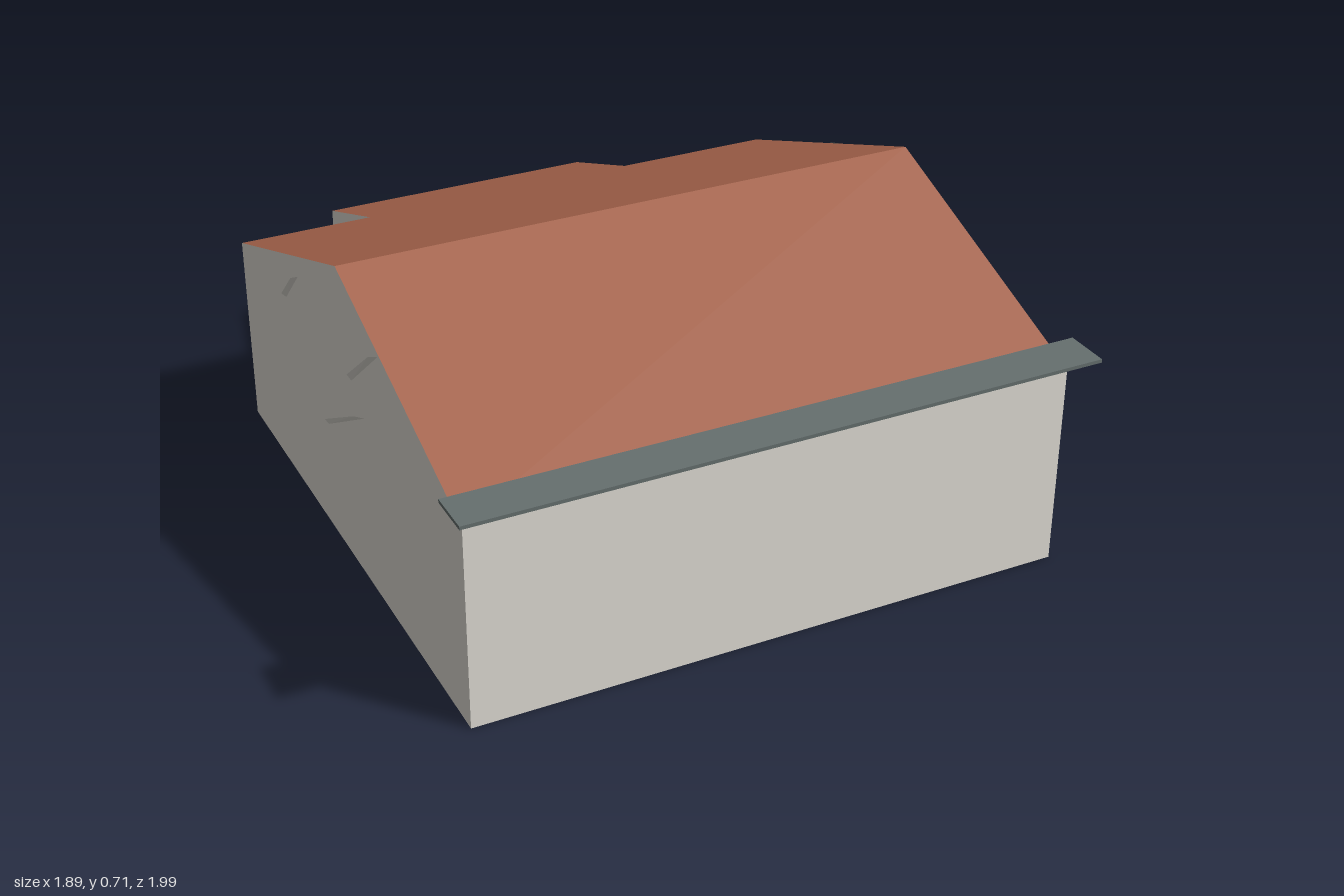
import * as THREE from 'three';

const mat = (name, color) => {
  const m = new THREE.MeshStandardMaterial({ color, side: THREE.DoubleSide });
  m.name = name;
  return m;
};

// House plan: u runs along the front wall, v runs from front to back
const LEN = 1.36, DEPTH = 1.362, RIDGE_V = 0.664, RIDGE_Y = 0.712;
const EAVE_F = 0.47, EAVE_B = 0.455;
const EXT_A = 0.315, EXT_B = 0.988, EXT_V = 1.652, EXT_Y = 0.348;

export function createModel() {
  const wall = mat('plaster', 0xe2dfd7);
  const roof = mat('roof tile', 0xa5634b);
  const glass = mat('slate glass', 0x66706f);
  const white = mat('white trim', 0xf2f0ec);
  const yellow = mat('yellow', 0xcdae58);

  const house = new THREE.Group();
  house.name = 'house';

  // Flat convex panel from [u, y, v] corners
  function panel(name, material, corners) {
    const p = [];
    for (let i = 1; i < corners.length - 1; i++) {
      for (const c of [corners[0], corners[i], corners[i + 1]]) p.push(c[0], c[1], -c[2]);
    }
    const g = new THREE.BufferGeometry();
    g.setAttribute('position', new THREE.Float32BufferAttribute(p, 3));
    g.computeVertexNormals();
    const mesh = new THREE.Mesh(g, material);
    mesh.name = name;
    house.add(mesh);
  }
  // Panel standing parallel to the gables, from [v, y] corners
  const sidePanel = (name, material, u, pts) =>
    panel(name, material, pts.map(([v, y]) => [u, y, v]));
  // Upright wall between two plan points, with a height at each end
  const wallRun = (name, [u0, v0, h0], [u1, v1, h1]) =>
    panel(name, wall, [[u0, 0, v0], [u1, 0, v1], [u1, h1, v1], [u0, h0, v0]]);

  // Walls, open underneath
  const gable = [[0, 0], [DEPTH, 0], [DEPTH, EAVE_B], [RIDGE_V, RIDGE_Y], [0, EAVE_F]];
  sidePanel('glazedGable', wall, LEN, gable);
  sidePanel('plainGable', wall, 0, [...gable].reverse());
  wallRun('frontWall', [0, 0, EAVE_F], [LEN, 0, EAVE_F]);
  const backPath = [[LEN, DEPTH, EAVE_B], [EXT_B, DEPTH, EAVE_B], [EXT_B, EXT_V, EXT_Y],
    [EXT_A, EXT_V, EXT_Y], [EXT_A, DEPTH, EAVE_B], [0, DEPTH, EAVE_B]];
  for (let i = 0; i < backPath.length - 1; i++) wallRun('backWall', backPath[i], backPath[i + 1]);

  // Roof slopes and the lower slope over the back extension
  const slope = (name, u0, u1, v0, y0, v1, y1) =>
    panel(name, roof, [[u0, y0, v0], [u1, y0, v0], [u1, y1, v1], [u0, y1, v1]]);
  slope('frontRoof', 0, LEN, 0, EAVE_F, RIDGE_V, RIDGE_Y);
  slope('backRoof', 0, LEN, RIDGE_V, RIDGE_Y, DEPTH, EAVE_B);
  slope('extensionRoof', EXT_A, EXT_B, DEPTH, EAVE_B, EXT_V, EXT_Y);

  // Thin canopy floating over the front eave
  const canopy = new THREE.Mesh(new THREE.BoxGeometry(1.425, 0.008, 0.104), glass);
  canopy.name = 'canopy';
  canopy.position.set(0.683, 0.514, 0.013);
  house.add(canopy);

  // Window panes of the glazed gable, lower row then upper row
  const columns = [[0.045, 0.354], [0.382, 1.0], [1.017, 1.337]];
  for (const [a, b] of columns) {
    sidePanel('lowerPane', glass, LEN + 0.004, [[a, 0.015], [b, 0.015], [b, 0.315], [a, 0.315]]);
  }
  const upper = [
    [[0.045, 0.46], [0.354, 0.335], [0.354, 0.575]],
    [[0.382, 0.335], [1.0, 0.335], [1.0, 0.59], [0.685, 0.69], [0.382, 0.59]],
    [[1.017, 0.335], [1.337, 0.335], [1.017, 0.575]],
  ];
  for (const pts of upper) sidePanel('upperPane', glass, LEN + 0.004, pts);

  // Slanted slats, tilted slightly out of the lower panes
  function slat(material, v, width, lean) {
    const a = LEN + 0.006, b = LEN + 0.016;
    panel('slat', material, [[a, 0.02, v], [b, 0.02, v + width],
      [b, 0.31, v + lean + width], [a, 0.31, v + lean]]);
  }
  slat(glass, 0.06, 0.065, 0.11);
  slat(white, 0.225, 0.022, 0.095);
  slat(glass, 1.06, 0.06, 0.12);
  slat(glass, 1.2, 0.05, 0.08);

  // Folded leaf panels inside the plain gable, each with a thin fin outside
  const leaf = [[-1, -1], [-1, 0.15], [-0.3, 0.95], [1, 1], [0.9, -0.25], [0.25, -0.9]];
  function leafPanel(material, v, y, w, h) {
    const at = (i, u) => [u, y + leaf[i][1] * h, v + leaf[i][0] * w];
    const lo = at(0, 0.016), hi = at(3, 0.016);
    panel('innerLeaf', material, [lo, at(1, 0.004), at(2, 0.004), hi]);
    panel('innerLeaf', material, [lo, hi, at(4, 0.004), at(5, 0.004)]);
    // fin rises towards the back of the gable
    panel('outerFin', wall, [[-0.002, y - h, v - w], [-0.014, y - h * 0.7, v - w * 0.9],
      [-0.014, y + h * 0.85, v + w * 0.7], [-0.002, y + h, v + w]].map(([u, py, pv]) => [u, py, 2 * v - pv]));
  }
  leafPanel(yellow, 0.51, 0.55, 0.09, 0.073);
  leafPanel(yellow, 0.975, 0.52, 0.05, 0.048);
  leafPanel(glass, 0.655, 0.35, 0.125, 0.073);

  // Small white door panel at the front corner of the plain gable
  sidePanel('doorPanel', white, 0.005, [[0.02, 0.02], [0.14, 0.05], [0.13, 0.25], [0.06, 0.24]]);

  // Turn the plan and set its front corner in place
  house.rotation.y = 0.473;
  house.position.set(-0.325, 0, 0.92);
  const model = new THREE.Group();
  model.name = 'model';
  model.add(house);
  return model;
}
